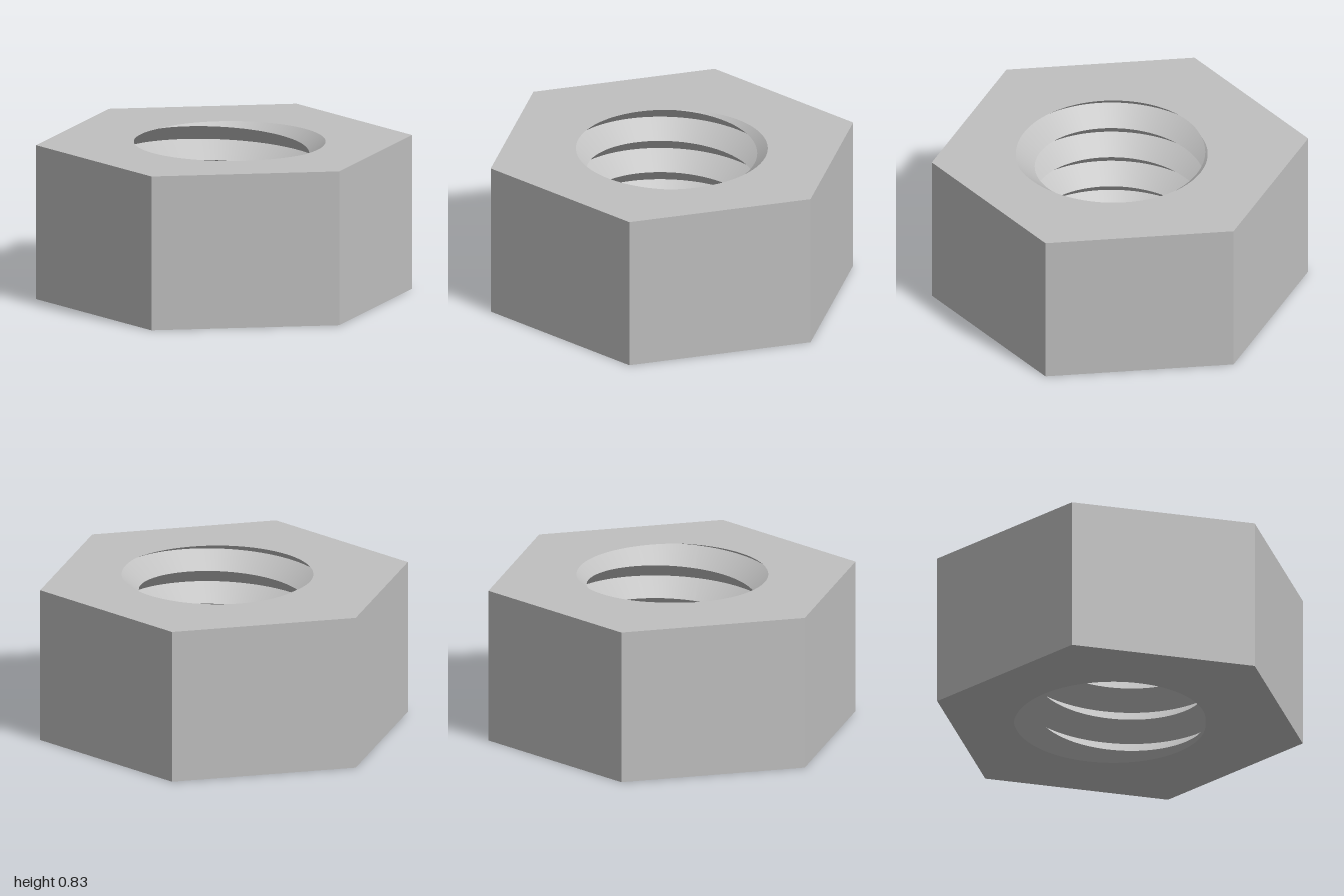
import * as THREE from 'three';

const HEIGHT = 0.83, PITCH = 0.1814;
const MINOR = 0.45, MAJOR = 0.56;
const START = THREE.MathUtils.degToRad(12); // angle where the thread root meets the top face
const SEGMENTS = 144;
const TURN = Math.PI * 2;

// Bore radius of the right-handed V thread at an angle and height
function boreRadius(angle, y) {
  const u = (y - HEIGHT) / PITCH - (angle - START) / TURN;
  return MAJOR - (MAJOR - MINOR) * 2 * Math.abs(u - Math.round(u));
}

// Hexagonal end face, with the hole following the thread where it is cut off
function endFace(y, facing) {
  const shape = new THREE.Shape();
  for (let i = 0; i < 6; i++) {
    const a = i * TURN / 6;
    shape[i ? 'lineTo' : 'moveTo'](Math.cos(a), Math.sin(a));
  }
  shape.closePath();
  const rim = [];
  for (let j = 0; j < SEGMENTS; j++) {
    const a = j * TURN / SEGMENTS, r = boreRadius(a, y);
    rim.push(new THREE.Vector2(r * Math.cos(a), facing * r * Math.sin(a)));
  }
  shape.holes.push(new THREE.Path(rim));
  return new THREE.ShapeGeometry(shape).rotateX(-facing * Math.PI / 2).translate(0, y, 0);
}

// Helical flanks between successive root and crest lines, trimmed to the nut's height
function threadGeometry() {
  const positions = [], index = [];
  const lineHeight = (k, a) =>
    THREE.MathUtils.clamp(HEIGHT + PITCH * (k / 2 + (a - START) / TURN), 0, HEIGHT);
  for (let k = -13; k < 2; k++) {
    const base = positions.length / 3;
    const heights = [];
    for (let j = 0; j <= SEGMENTS; j++) {
      const a = j * TURN / SEGMENTS;
      const pair = [lineHeight(k, a), lineHeight(k + 1, a)];
      heights.push(pair[1] - pair[0]);
      for (const y of pair) {
        const r = boreRadius(a, y);
        positions.push(r * Math.cos(a), y, -r * Math.sin(a));
      }
    }
    for (let j = 0; j < SEGMENTS; j++) {
      const p = base + j * 2;
      if (heights[j] > 1e-6) index.push(p, p + 1, p + 2);
      if (heights[j + 1] > 1e-6) index.push(p + 1, p + 3, p + 2);
    }
  }
  const geometry = new THREE.BufferGeometry();
  geometry.setAttribute('position', new THREE.Float32BufferAttribute(positions, 3));
  geometry.setIndex(index);
  geometry.computeVertexNormals();
  return geometry;
}

export function createModel() {
  const steel = new THREE.MeshStandardMaterial({ color: 0xc0c0c0 });
  steel.name = 'steel';
  const nut = new THREE.Group();
  nut.name = 'hexNut';
  const add = (name, geometry) => {
    const mesh = new THREE.Mesh(geometry, steel);
    mesh.name = name;
    nut.add(mesh);
  };

  // Six flat sides with sharp corners
  const sides = new THREE.CylinderGeometry(1, 1, HEIGHT, 6, 1, true, Math.PI / 6)
    .translate(0, HEIGHT / 2, 0).toNonIndexed();
  sides.computeVertexNormals();
  add('hexSides', sides);

  add('topFace', endFace(HEIGHT, 1));
  add('bottomFace', endFace(0, -1));
  add('internalThread', threadGeometry());
  return nut;
}
